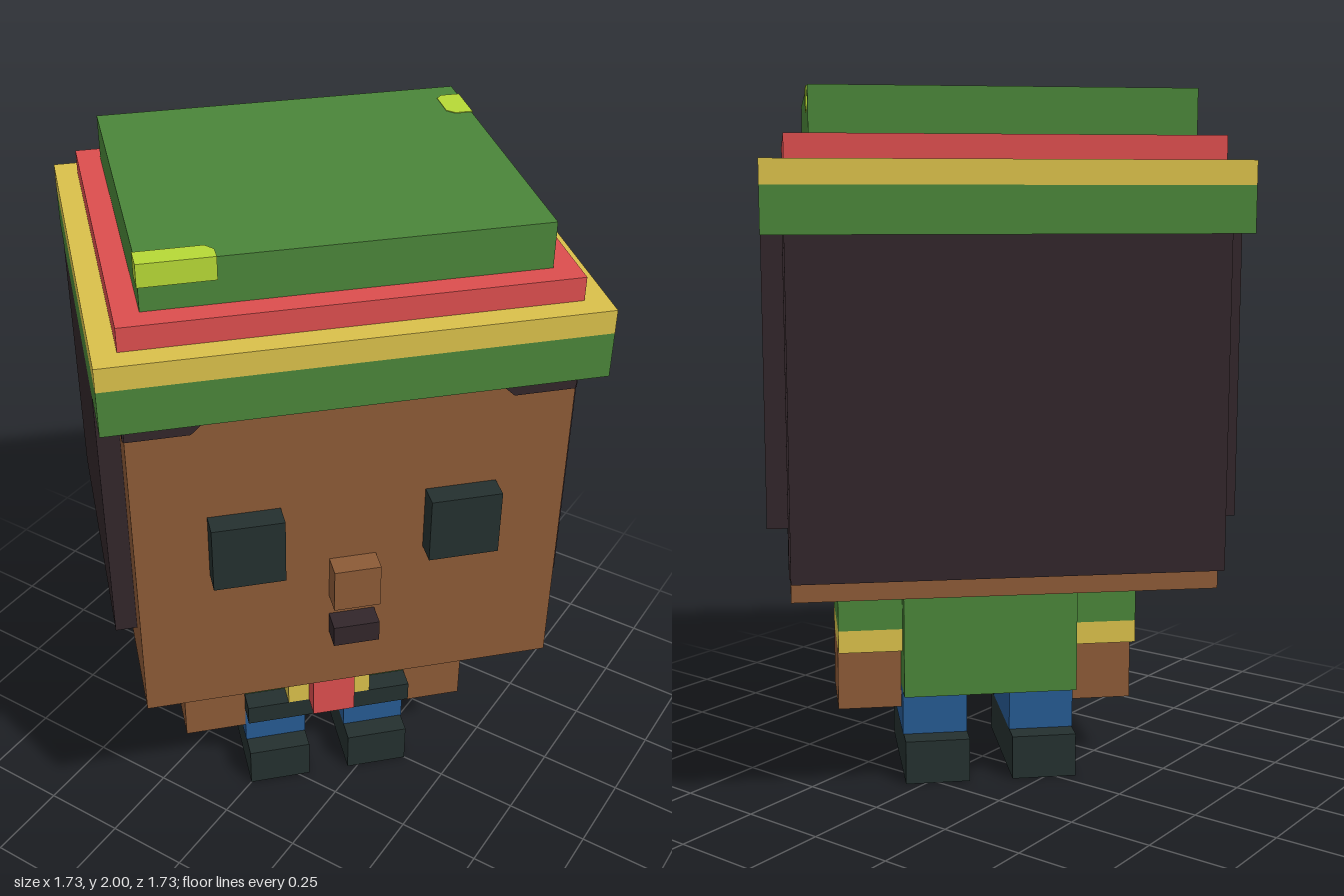
import * as THREE from 'three';

const COLOURS = {
  green: 0x4a8539, yellow: 0xdac04a, red: 0xdc4e4e, skin: 0x8c5a36,
  hair: 0x32262a, charcoal: 0x24302f, denim: 0x265a92, lime: 0xb6d936,
};

export function createModel() {
  const mats = {};
  for (const [name, color] of Object.entries(COLOURS)) {
    mats[name] = new THREE.MeshStandardMaterial({ color });
    mats[name].name = name;
  }

  // The figure is built facing +z, then turned 45 degrees.
  const figure = new THREE.Group();
  figure.name = 'figure';
  figure.rotation.y = Math.PI / 4;

  const add = (name, mat, geometry) => {
    const mesh = new THREE.Mesh(geometry, mats[mat]);
    mesh.name = name;
    figure.add(mesh);
    return mesh;
  };

  // Box from its limits on each axis
  const box = (name, mat, [x0, x1], [y0, y1], [z0, z1]) => {
    const mesh = add(name, mat, new THREE.BoxGeometry(x1 - x0, y1 - y0, z1 - z0));
    mesh.position.set((x0 + x1) / 2, (y0 + y1) / 2, (z0 + z1) / 2);
    return mesh;
  };

  // Box on both sides of the body, given by its limits on the left side
  const pair = (name, mat, [x0, x1], y, z) => {
    box(name + 'Left', mat, [x0, x1], y, z);
    box(name + 'Right', mat, [-x1, -x0], y, z);
  };

  // Polygon extruded towards +z
  const plate = (name, mat, pts, depth) => {
    const shape = new THREE.Shape(pts.map(([x, y]) => new THREE.Vector2(x, y)));
    return add(name, mat, new THREE.ExtrudeGeometry(shape, { depth, bevelEnabled: false }));
  };

  // Head and face
  box('head', 'skin', [-0.583, 0.583], [0.65, 1.62], [-0.513, 0.513]);
  pair('eye', 'charcoal', [0.195, 0.388], [1.1, 1.292], [0.51, 0.577]);
  box('nose', 'skin', [-0.064, 0.064], [0.97, 1.1], [0.51, 0.577]);
  box('mouth', 'hair', [-0.064, 0.064], [0.842, 0.906], [0.51, 0.577]);

  // Hair: raised slabs at back and sides
  box('hairBack', 'hair', [-0.583, 0.583], [0.715, 1.62], [-0.577, -0.513]);
  pair('hairSide', 'hair', [0.583, 0.643], [0.842, 1.62], [-0.463, 0.385]);

  // Painted hairline on the sides and the front corners
  for (const s of [-1, 1]) {
    const side = plate('sideHairline', 'hair', [
      [-0.513, 0.715], [-0.225, 0.715], [-0.2, 0.74], [-0.2, 1.556],
      [0.513, 1.556], [0.513, 1.62], [-0.513, 1.62],
    ].map(([z, y]) => [-s * z, y]), 0.004);
    side.rotation.y = s * Math.PI / 2;
    side.position.x = s * 0.583;

    const fringe = plate('fringeCorner', 'hair', [
      [0.583, 1.556], [0.418, 1.556], [0.393, 1.58], [0.393, 1.62], [0.583, 1.62],
    ].map(([x, y]) => [s * x, y]), 0.004);
    fringe.position.z = 0.513;
  }

  // Stepped hat
  box('hatBand', 'green', [-0.643, 0.643], [1.62, 1.745], [-0.583, 0.575]);
  box('hatYellowBand', 'yellow', [-0.643, 0.643], [1.745, 1.81], [-0.583, 0.575]);
  box('hatRedBand', 'red', [-0.58, 0.58], [1.81, 1.875], [-0.519, 0.511]);
  box('hatTop', 'green', [-0.515, 0.515], [1.875, 2], [-0.455, 0.447]);

  // Lime patches on the edge of the hat top
  const patch = (pts) => {
    const mesh = plate('limePatch', 'lime', pts.map(([x, z]) => [x, -z]), 0.062);
    mesh.rotation.x = -Math.PI / 2;
    mesh.position.y = 1.94;
  };
  patch([[-0.518, 0.45], [-0.325, 0.45], [-0.325, 0.41], [-0.345, 0.386], [-0.518, 0.386]]);
  patch([[0.518, -0.39], [0.465, -0.39], [0.448, -0.372], [0.448, -0.28], [0.468, -0.258], [0.518, -0.258]]);

  // Neck and jacket
  box('neck', 'skin', [-0.127, 0.127], [0.58, 0.652], [-0.127, 0.127]);
  box('torso', 'green', [-0.257, 0.257], [0.265, 0.585], [-0.19, 0.19]);
  box('belt', 'charcoal', [-0.257, 0.257], [0.265, 0.33], [0.185, 0.255]);
  pair('jacketTrim', 'yellow', [0.06, 0.129], [0.33, 0.585], [0.185, 0.255]);
  box('jacketFront', 'red', [-0.064, 0.064], [0.33, 0.585], [0.185, 0.32]);

  // Arms
  pair('sleeve', 'green', [0.257, 0.446], [0.457, 0.585], [-0.135, 0.19]);
  pair('cuff', 'yellow', [0.257, 0.446], [0.39, 0.457], [-0.135, 0.19]);
  pair('arm', 'skin', [0.257, 0.446], [0.197, 0.39], [-0.07, 0.19]);

  // Legs and shoes
  pair('leg', 'denim', [0.064, 0.257], [0.13, 0.27], [-0.127, 0.19]);
  pair('shoe', 'charcoal', [0.064, 0.255], [0, 0.13], [-0.195, 0.255]);

  const model = new THREE.Group();
  model.name = 'blockFigure';
  model.add(figure);
  return model;
}
